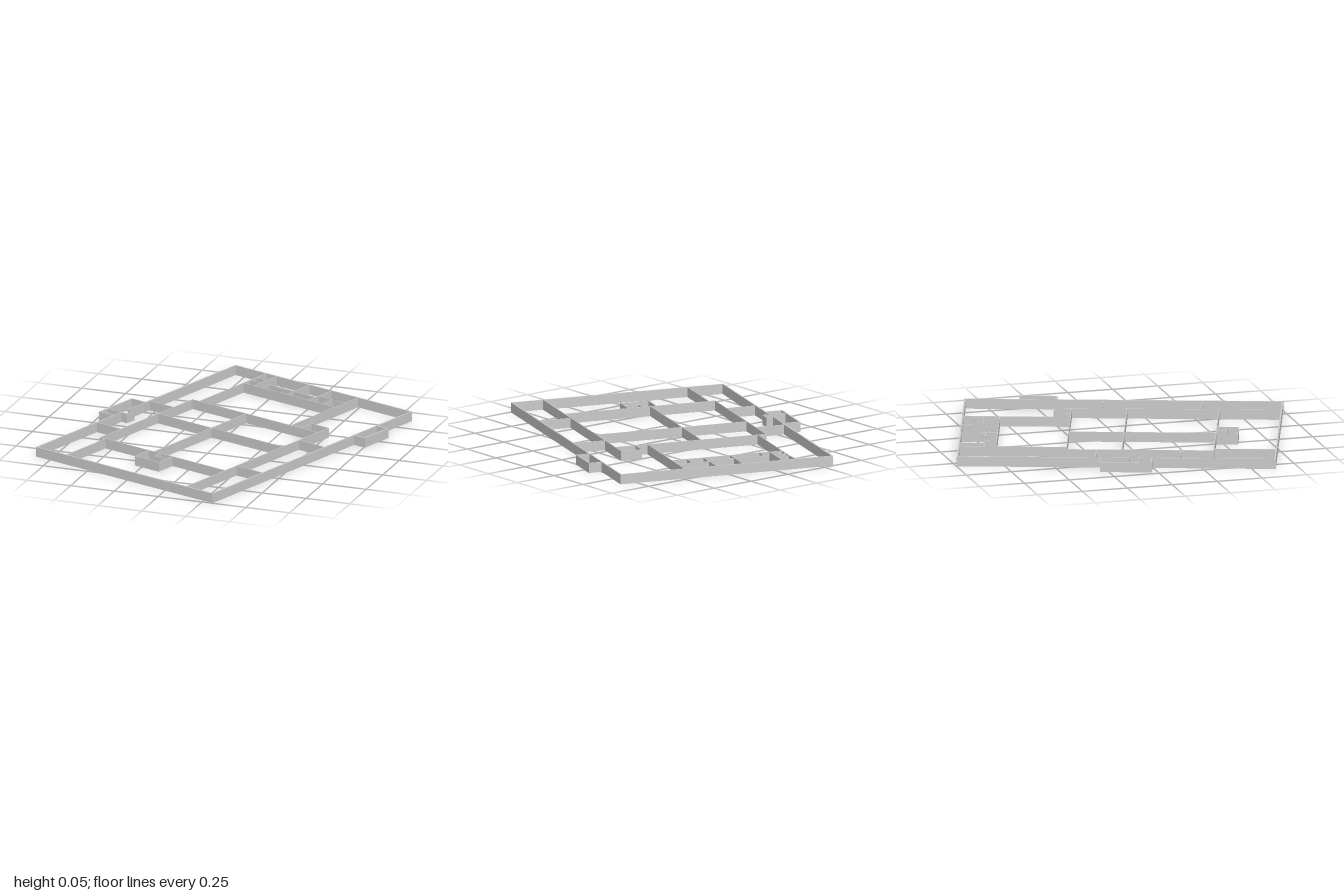
import * as THREE from 'three';

const HEIGHT = 0.054;
const OUTER = 0.008;
const INNER = 0.004;
const material = new THREE.MeshStandardMaterial({ color: 0xcccccc, flatShading: true });

// Straight upright wall along one plan axis, lengthened to close its corners.
function wall(name, [u1, v1, u2, v2], thickness) {
  const geometry = new THREE.BoxGeometry(
    Math.abs(u2 - u1) + thickness, HEIGHT, Math.abs(v2 - v1) + thickness);
  const mesh = new THREE.Mesh(geometry, material);
  mesh.name = name;
  mesh.position.set((u1 + u2) / 2, HEIGHT / 2, (v1 + v2) / 2);
  return mesh;
}

function wallGroup(name, wallName, segments, thickness) {
  const group = new THREE.Group();
  group.name = name;
  segments.forEach((s) => group.add(wall(wallName, s, thickness)));
  return group;
}

// Turns a chain of corner points into wall segments.
const chain = (...p) => p.slice(1).map((q, i) => [...p[i], ...q]);

export function createModel() {
  const model = new THREE.Group();
  model.name = 'floorPlan';

  // Thick outer wall, stepping out round the two side bays
  const W = 0.601, L = 0.849;
  model.add(wallGroup('exteriorWalls', 'exteriorWall', chain(
    [-W, -L], [W, -L], [W, -0.556], [0.674, -0.556], [0.674, -0.361], [W, -0.361],
    [W, L], [-W, L], [-W, 0.19], [-0.696, 0.19], [-0.696, -0.081], [-W, -0.081], [-W, -L],
  ), OUTER));

  // Thin walls closing the bays, with a small closet stepping into the plan
  model.add(wallGroup('bayWalls', 'bayWall', [
    [W, -0.556, W, -0.361],
    [-W, -0.081, -W, 0.067],
    ...chain([-W, 0.067], [-0.563, 0.067], [-0.563, 0.127], [-0.696, 0.127]),
    [-W, 0.127, -W, 0.19],
  ], INNER));

  // Central block split into four rooms
  const l = -0.434, r = 0.422, t = -0.273, b = 0.516;
  model.add(wallGroup('centralRooms', 'roomWall', [
    ...chain([l, t], [r, t], [r, b], [l, b], [l, t]),
    [l, 0.024, r, 0.024],
    [-0.066, t, -0.066, b],
  ], INNER));

  // Cross walls between the central block and the outer wall
  model.add(wallGroup('corridorWalls', 'corridorWall', [
    [-W, -0.112, l, -0.112],
    [-W, 0.339, l, 0.339],
    [r, -0.112, W, -0.112],
    [r, 0.42, W, 0.42],
    [-0.399, b, -0.399, L],
    [r, b, r, L],
  ], INNER));

  // Closets standing against the central block
  model.add(wallGroup('closets', 'closetWall', [
    ...chain([0.307, t], [0.307, -0.365], [r, -0.365], [r, t]),
    ...chain([-0.1, b], [-0.1, 0.633], [0.06, 0.633], [0.06, b]),
    ...chain([-0.02, b], [-0.02, 0.57], [0.06, 0.57]),
  ], INNER));

  // Rear hall and its row of small service rooms
  const s = -0.651;
  model.add(wallGroup('rearRooms', 'rearWall', [
    [-0.388, -L, -0.388, t],
    [0.239, -L, 0.239, t],
    [-0.388, s, 0.239, s],
    [-0.317, -L, -0.317, s],
    [-0.388, -0.762, -0.317, -0.762],
    [-0.388, -0.712, -0.317, -0.712],
    [-0.262, -0.714, 0.058, -0.714],
    [-0.262, -0.714, -0.262, s],
    [-0.093, -L, -0.093, s],
    [0.058, -L, 0.058, s],
    [0.058, -0.736, 0.239, -0.736],
    [0.153, -0.736, 0.153, s],
  ], INNER));

  // The whole plan is turned on the ground
  model.rotation.y = THREE.MathUtils.degToRad(-18.1);
  const root = new THREE.Group();
  root.name = 'buildingWalls';
  root.add(model);
  return root;
}
